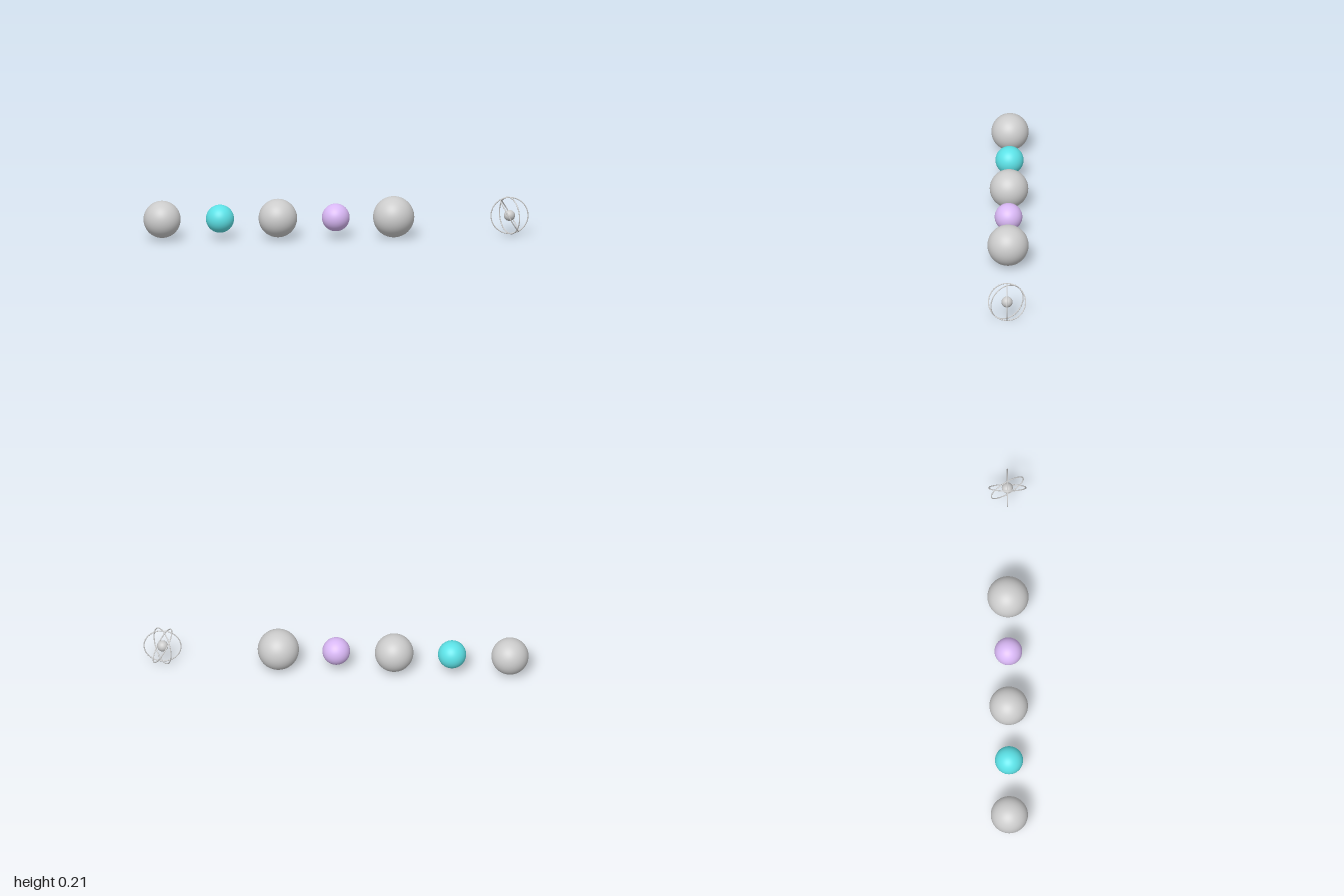
import * as THREE from 'three';

const CENTER_Y = 0.107;
const START_X = -0.9035;
const SPACING = 0.3008;

function material(color = 0xcccccc) {
  return new THREE.MeshStandardMaterial({ color });
}

function addMesh(parent, name, geometry, mat) {
  const mesh = new THREE.Mesh(geometry, mat);
  mesh.name = name;
  parent.add(mesh);
  return mesh;
}

export function createModel() {
  const model = new THREE.Group();
  model.name = 'sphereRow';
  const grey = material();

  // Row of spheres, evenly spaced; the fifth gap before the atom stays empty
  const spheres = [
    ['firstLargeSphere', 0.0965, grey],
    ['cyanSphere', 0.073, material(0x5ce1e6)],
    ['middleLargeSphere', 0.1, grey],
    ['lilacSphere', 0.072, material(0xd9b8f5)],
    ['lastLargeSphere', 0.107, grey],
  ];
  spheres.forEach(([name, radius, mat], i) => {
    const sphere = addMesh(model, name, new THREE.SphereGeometry(radius, 64, 48), mat);
    sphere.position.set(START_X + i * SPACING, CENTER_Y, 0);
  });

  // Atom: a nucleus inside three tilted orbit rings
  const atom = new THREE.Group();
  atom.name = 'atom';
  atom.position.set(START_X + 6 * SPACING, CENTER_Y, 0);
  model.add(atom);
  addMesh(atom, 'nucleus', new THREE.SphereGeometry(0.029, 32, 24), grey);

  const ringGeometry = new THREE.TorusGeometry(0.096, 0.003, 12, 96);
  const tilts = [
    [0, 0, 0],
    [0, -Math.PI / 3, 0],
    [Math.PI / 2, -Math.PI / 3, 0],
  ];
  tilts.forEach((tilt, i) => {
    addMesh(atom, `orbitRing${i + 1}`, ringGeometry, grey).rotation.set(...tilt);
  });

  return model;
}
